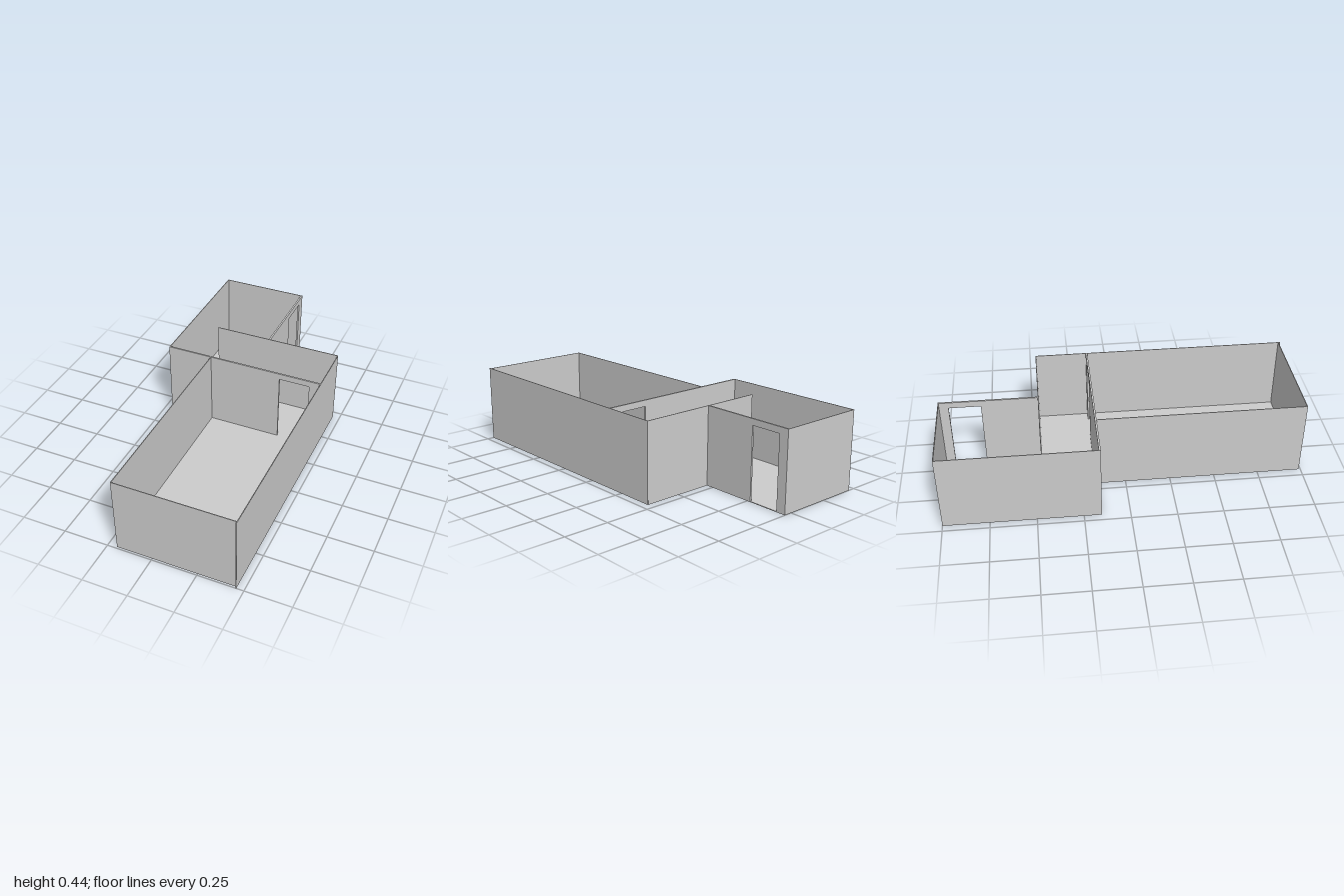
import * as THREE from 'three';

const HEIGHT = 0.44;
const DOOR_HEIGHT = 0.405;
const THIN = 0.004;
const THICK = 0.01;

export function createModel() {
  const model = new THREE.Group();
  const material = new THREE.MeshStandardMaterial({ color: 0xcccccc, flatShading: true });

  // Upright wall running along 'x' or 'z'; low is its smaller coordinate across.
  // An optional door [start, end] is notched out from the ground.
  function wall(name, axis, from, to, low, thickness, door) {
    const outline = [[from, 0]];
    if (door) {
      outline.push([door[0], 0], [door[0], DOOR_HEIGHT], [door[1], DOOR_HEIGHT], [door[1], 0]);
    }
    outline.push([to, 0], [to, HEIGHT], [from, HEIGHT]);
    const shape = new THREE.Shape(outline.map(([u, y]) => new THREE.Vector2(u, y)));
    const geometry = new THREE.ExtrudeGeometry(shape, { depth: thickness, bevelEnabled: false });
    if (axis === 'z') geometry.rotateY(-Math.PI / 2).translate(low + thickness, 0, 0);
    else geometry.translate(0, 0, low);
    const mesh = new THREE.Mesh(geometry, material);
    mesh.name = name;
    model.add(mesh);
  }

  // Thin floor slab of one room
  function floor(name, x0, x1, z0, z1) {
    const mesh = new THREE.Mesh(new THREE.BoxGeometry(x1 - x0, THIN, z1 - z0), material);
    mesh.position.set((x0 + x1) / 2, THIN / 2, (z0 + z1) / 2);
    mesh.name = name;
    model.add(mesh);
  }

  // Floors
  floor('mainRoomFloor', -0.2, 0.458, -0.16, 0.99);
  floor('hallFloor', -0.46, 0.458, -0.457, -0.16);
  floor('backRoomFloor', -0.46, 0.046, -1, -0.457);

  // Main room
  wall('mainFrontWall', 'x', -0.2, 0.456, 0.99 - THIN, THIN);
  wall('mainRightWall', 'z', -0.16, 0.99, -0.2, THIN);
  wall('longLeftWall', 'z', -0.457, 1, 0.46 - THIN, THIN);

  // Dividing wall with a doorway into the hall
  wall('dividingWall', 'x', -0.46, 0.457, -0.165, THICK, [0.22, 0.395]);

  // Partition stopping short of the outer wall to leave a passage
  wall('hallPartition', 'x', -0.285, 0.457, -0.459, THIN);

  // Back room and hall outer walls
  wall('longRightWall', 'z', -1, -0.155, -0.46, THIN);
  wall('backWall', 'x', -0.46, 0.046, -1, THIN);
  wall('backRoomDoorWall', 'z', -1, -0.457, 0.036, THICK, [-0.945, -0.77]);

  return model;
}
